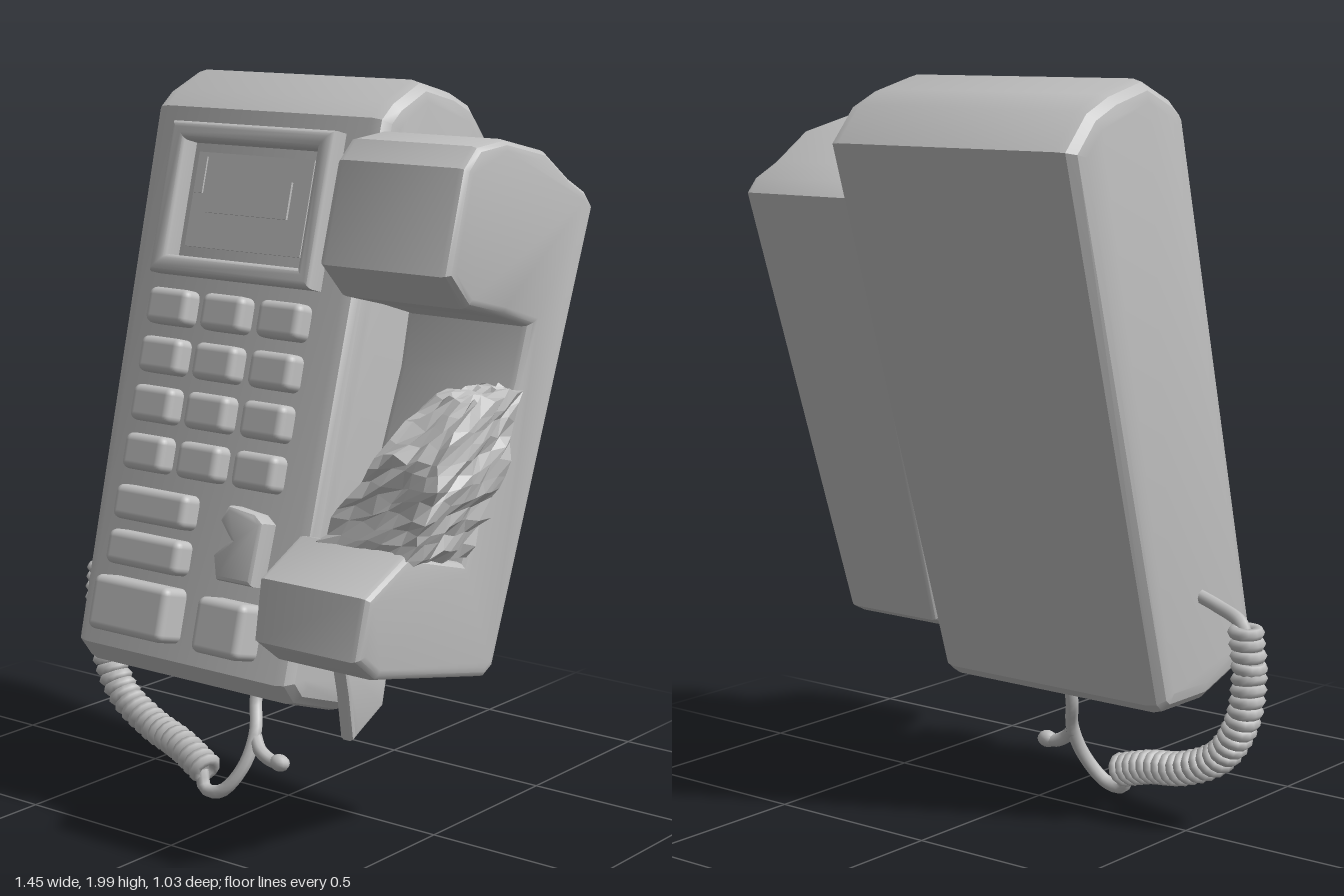
import * as THREE from 'three';
import { toCreasedNormals } from 'three/addons/utils/BufferGeometryUtils.js';
import { RoundedBoxGeometry } from 'three/addons/geometries/RoundedBoxGeometry.js';

const grey = new THREE.MeshStandardMaterial({ color: 0xbfbfbf });
grey.name = 'warm grey plastic';

function add(parent, name, geometry, x = 0, y = 0, z = 0) {
  const mesh = new THREE.Mesh(geometry, grey);
  mesh.name = name;
  mesh.position.set(x, y, z);
  parent.add(mesh);
  return mesh;
}

// Extrudes a side profile of [z, y] points from x0 to x1 with bevelled edges.
function sideExtrude(points, x0, x1, bevel, segments = 3) {
  const shape = new THREE.Shape(points.map(([z, y]) => new THREE.Vector2(-z, y)));
  const g = new THREE.ExtrudeGeometry(shape, {
    depth: x1 - x0 - 2 * bevel, bevelEnabled: bevel > 0, bevelSize: bevel,
    bevelThickness: bevel, bevelOffset: -bevel, bevelSegments: segments,
  });
  g.rotateY(Math.PI / 2);
  g.translate(x0 + bevel, 0, 0);
  return g;
}

// Moves every vertex by a rule.
function warp(g, rule) {
  const p = g.attributes.position, v = new THREE.Vector3();
  for (let i = 0; i < p.count; i++) {
    rule(v.fromBufferAttribute(p, i));
    p.setXYZ(i, v.x, v.y, v.z);
  }
  return g;
}

const curve = (pts) => new THREE.CatmullRomCurve3(pts.map((p) => new THREE.Vector3(...p)));

// Repeatable noise from a position, in -1..1
function noise(v, k) {
  const s = Math.sin(v.x * 127.1 + v.y * 311.7 + v.z * 74.7 + k * 51.3) * 4375.85;
  return 2 * (s - Math.floor(s)) - 1;
}

function frameShape(x0, x1, y0, y1) {
  return [[x0, y0], [x1, y0], [x1, y1], [x0, y1]].map((p) => new THREE.Vector2(...p));
}

export function createModel() {
  const model = new THREE.Group();
  model.name = 'wallTelephone';

  // Leaning main body, slightly narrower at the bottom
  const bodyProfile = [
    [-0.03, 1.91], [-0.08, 1.95], [-0.2, 2.0], [-0.34, 1.965], [-0.43, 1.925], [-0.515, 1.83],
    [-0.09, 0.36], [-0.06, 0.335], [0.12, 0.335], [0.31, 0.40], [0.355, 0.46],
  ];
  const body = warp(sideExtrude(bodyProfile, -0.51, 0.31, 0.055), (v) => {
    const t = (2 - v.y) / 1.66;
    v.x = -0.1 + (v.x + 0.1) * (1 - 0.06 * t);
  });
  add(model, 'body', toCreasedNormals(body, 0.5));

  // Front panel frame: y follows the leaning face, z points out of it
  const lean = Math.atan(0.385 / 1.45);
  const panel = new THREE.Group();
  panel.name = 'frontPanel';
  panel.position.set(0, 1.91, -0.03);
  panel.rotation.x = -lean;
  model.add(panel);
  const along = (y, out = 0) => (y - 1.91 - out * Math.sin(lean)) / Math.cos(lean);

  // Display surround with a relief plate inside
  const surround = new THREE.Shape(frameShape(-0.38, 0.18, along(1.46), along(1.865)));
  surround.holes.push(new THREE.Path(frameShape(-0.325, 0.13, along(1.51), along(1.815))));
  const surroundGeo = new THREE.ExtrudeGeometry(surround, {
    depth: 0.045, bevelSize: 0.018, bevelThickness: 0.018, bevelOffset: -0.018, bevelSegments: 3,
  });
  add(panel, 'displaySurround', toCreasedNormals(surroundGeo, 0.6), 0, 0, -0.005);
  add(panel, 'displayPlate', new THREE.BoxGeometry(0.40, 0.26, 0.008), -0.1, along(1.665), 0.008);
  add(panel, 'displayRelief', new THREE.BoxGeometry(0.28, 0.10, 0.009), -0.1, along(1.68), 0.015);
  add(panel, 'displayMark', new THREE.BoxGeometry(0.03, 0.10, 0.009), -0.28, along(1.73), 0.013);

  // Keys
  function key(name, x, y, w, h, out) {
    const g = new RoundedBoxGeometry(w, h, out + 0.04, 3, 0.022);
    add(panel, name, g, x, along(y, out * 0.8), out / 2 - 0.02);
  }
  for (const y of [1.385, 1.255, 1.125, 0.995]) {
    for (const x of [-0.298, -0.105, 0.09]) key('numberKey', x, y, 0.145, 0.1, 0.055);
  }
  key('wideKey', -0.24, 0.86, 0.26, 0.095, 0.06);
  key('wideKey', -0.24, 0.74, 0.26, 0.095, 0.06);
  key('largeKey', -0.238, 0.595, 0.27, 0.15, 0.085);
  key('squareKey', 0.08, 0.595, 0.165, 0.15, 0.085);
  const notched = new THREE.Shape([
    [0.03, 0.71], [0.15, 0.71], [0.155, 0.87], [0.125, 0.89], [0.035, 0.90],
    [0.015, 0.86], [0.06, 0.815], [0.01, 0.77],
  ].map(([x, y]) => new THREE.Vector2(x, along(y, 0.05))));
  const notchedGeo = new THREE.ExtrudeGeometry(notched, {
    depth: 0.05, bevelSize: 0.012, bevelThickness: 0.015, bevelOffset: -0.01, bevelSegments: 2,
  });
  add(panel, 'notchedKey', toCreasedNormals(notchedGeo, 0.6), 0, 0, -0.005);

  // Handset: ear block, grip and mouth block in one side profile
  const handsetProfile = [
    [0.0, 1.88], [0.12, 1.87], [0.175, 1.82], [0.25, 1.56], [0.16, 1.47], [0.0, 1.43],
    [-0.13, 1.39], [-0.1, 1.25], [0.08, 0.8], [0.33, 0.87], [0.49, 0.79], [0.515, 0.63],
    [0.43, 0.565], [-0.05, 0.46], [-0.09, 0.48], [-0.415, 1.68], [-0.38, 1.72],
    [-0.3, 1.76], [-0.18, 1.84],
  ];
  const handset = warp(sideExtrude(handsetProfile, 0.29, 0.7, 0.028), (v) => {
    v.x = 0.29 + (v.x - 0.29) * (1 - 0.18 * THREE.MathUtils.clamp((1.5 - v.y) / 0.9, 0, 1));
  });
  add(model, 'handset', toCreasedNormals(handset, 0.5));

  // Rough, worn lump on the grip
  const lump = warp(new THREE.BoxGeometry(1, 1, 1, 6, 12, 7), (v) => {
    const n = [noise(v, 1), noise(v, 2), noise(v, 3)];
    const t = v.y + 0.5;
    const left = THREE.MathUtils.lerp(0.34, 0.59, t);
    const right = THREE.MathUtils.lerp(0.64, 0.71, Math.min(1, t * 2));
    const back = THREE.MathUtils.lerp(0.06, -0.06, t);
    const front = t < 0.65 ? 0.34 - 0.08 * t : 0.29 - (t - 0.65) * 0.4;
    v.set(
      THREE.MathUtils.lerp(left, right, v.x + 0.5) + n[0] * 0.012,
      0.82 + 0.42 * t + n[1] * 0.012,
      THREE.MathUtils.lerp(back, front, v.z + 0.5) + n[2] * 0.012,
    );
  }).toNonIndexed();
  lump.computeVertexNormals();
  add(model, 'wornGrip', lump);

  // Flat tab below the mouth block
  const tab = [[0.38, 0.57], [0.36, 0.48], [0.34, 0.355], [0.31, 0.37], [0.21, 0.42], [0.18, 0.55]];
  add(model, 'cordTab', toCreasedNormals(sideExtrude(tab, 0.44, 0.485, 0.012, 2), 0.6));

  // Coiled cord: a core with closely spaced rings
  const coil = curve([
    [-0.66, 0.57, 0.035], [-0.675, 0.46, 0.03], [-0.65, 0.33, 0.04], [-0.57, 0.215, 0.06],
    [-0.44, 0.15, 0.08], [-0.3, 0.12, 0.11], [-0.19, 0.085, 0.14],
  ]);
  add(model, 'cordCore', new THREE.TubeGeometry(coil, 40, 0.034, 8));
  const ringGeo = new THREE.TorusGeometry(0.033, 0.017, 6, 12);
  const rings = 26;
  for (let i = 0; i <= rings; i++) {
    const p = coil.getPointAt(i / rings);
    const ring = add(model, 'cordRing', ringGeo, p.x, p.y, p.z);
    ring.lookAt(p.clone().add(coil.getTangentAt(i / rings)));
    ring.rotateX(0.2);
  }

  // Plain cord ends and the loose branch
  const ends = {
    cordSideEnd: [[-0.46, 0.64, 0.08], [-0.55, 0.615, 0.07], [-0.64, 0.59, 0.04], [-0.66, 0.55, 0.035]],
    cordLowerEnd: [[-0.2, 0.075, 0.14], [-0.18, 0.03, 0.15], [-0.12, 0.035, 0.15], [-0.065, 0.11, 0.12],
      [-0.055, 0.2, 0.08], [-0.085, 0.28, 0.04], [-0.09, 0.36, 0.02]],
    cordBranch: [[-0.055, 0.19, 0.08], [-0.02, 0.16, 0.1], [0.02, 0.14, 0.1], [0.06, 0.14, 0.1]],
  };
  for (const [name, pts] of Object.entries(ends)) {
    add(model, name, new THREE.TubeGeometry(curve(pts), 24, 0.019, 8));
  }
  const tip = add(model, 'branchTip', new THREE.SphereGeometry(0.024, 10, 8), 0.048, 0.14, 0.1);
  tip.scale.x = 1.3;

  return model;
}
